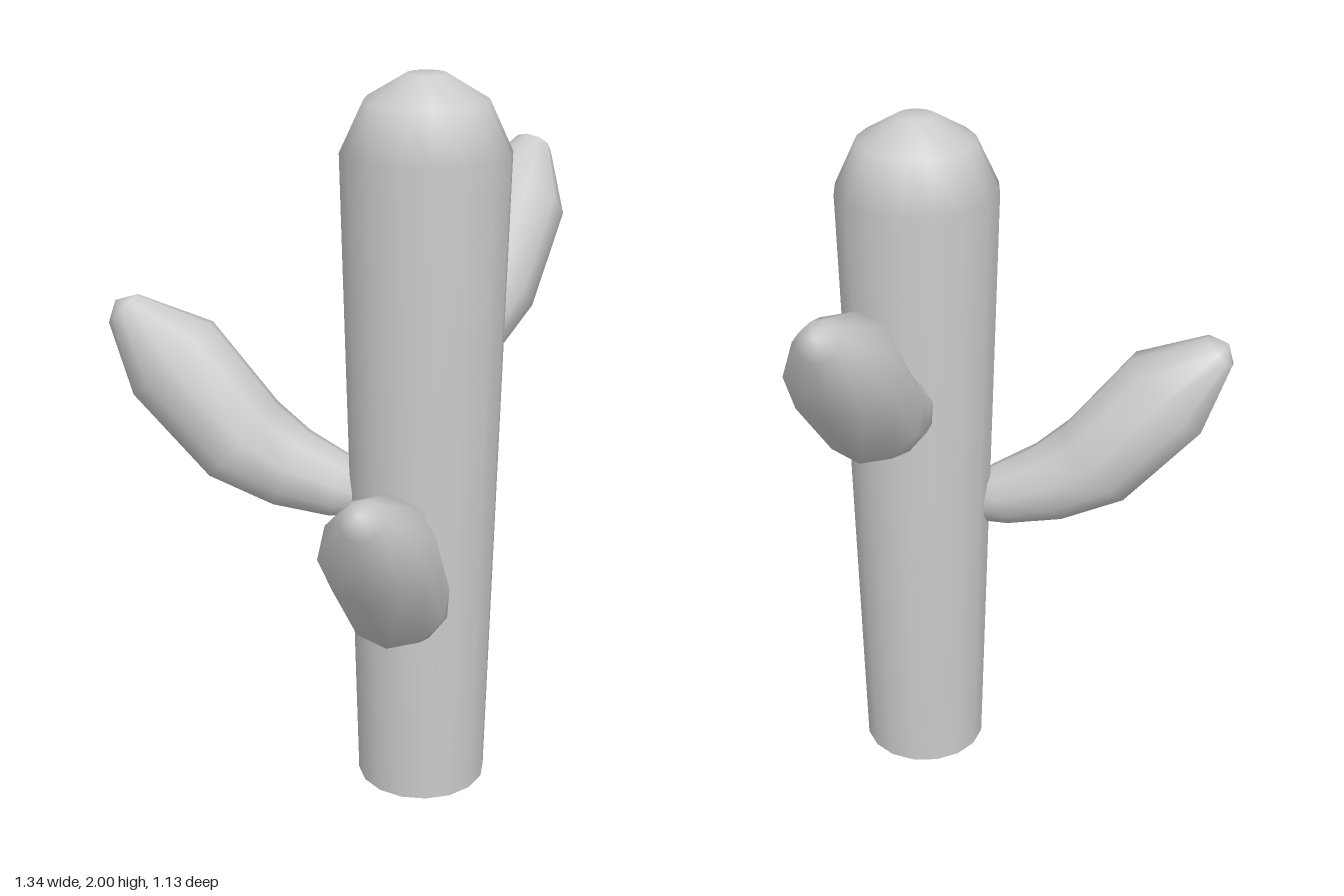
import * as THREE from 'three';

const material = new THREE.MeshStandardMaterial({ color: 0xcccccc });

// Smooth closed tube through [x, y, radius] sections lying in the xy plane
function loft(sections, sides) {
  const pos = [], index = [];
  const last = sections.length - 1;
  sections.forEach(([x, y, r], i) => {
    const p = sections[Math.max(i - 1, 0)], q = sections[Math.min(i + 1, last)];
    const t = new THREE.Vector2(q[0] - p[0], q[1] - p[1]).normalize();
    for (let j = 0; j < sides; j++) {
      const a = (j / sides) * Math.PI * 2;
      pos.push(x - t.y * Math.cos(a) * r, y + t.x * Math.cos(a) * r, Math.sin(a) * r);
    }
  });
  for (let i = 0; i < last; i++) {
    for (let j = 0; j < sides; j++) {
      const k = (j + 1) % sides;
      const a = i * sides + j, b = i * sides + k;
      index.push(a, b, b + sides, a, b + sides, a + sides);
    }
  }
  // end poles
  const [sx, sy] = sections[0], [ex, ey] = sections[last];
  const s = pos.length / 3;
  pos.push(sx - 0.03, sy - 0.01, 0, ex + 0.022, ey + 0.022, 0);
  for (let j = 0; j < sides; j++) {
    const k = (j + 1) % sides;
    index.push(s, k, j, s + 1, last * sides + j, last * sides + k);
  }
  const geo = new THREE.BufferGeometry();
  geo.setAttribute('position', new THREE.Float32BufferAttribute(pos, 3));
  geo.setIndex(index);
  geo.computeVertexNormals();
  return geo;
}

export function createModel() {
  const model = new THREE.Group();
  model.name = 'cactus';
  const plant = new THREE.Group();
  plant.name = 'plant';
  plant.position.set(-0.06, 0, 0.195);
  model.add(plant);

  const add = (name, geometry) => {
    const mesh = new THREE.Mesh(geometry, material);
    mesh.name = name;
    plant.add(mesh);
    return mesh;
  };

  // Trunk: widens upwards and ends in a low-poly dome
  const profile = [[0.18, 0], [0.223, 1.8], [0.16, 1.935], [0.052, 2], [0, 2]];
  add('trunk', new THREE.LatheGeometry(profile.map(([r, y]) => new THREE.Vector2(r, y)), 16));
  add('trunkBase', new THREE.CircleGeometry(0.18, 16)).rotation.x = Math.PI / 2;

  // Arms: one swelling, upward-bending shape placed around the trunk
  const armGeometry = loft([
    [-0.05, 0.545, 0.06],
    [0.03, 0.57, 0.09],
    [0.17, 0.615, 0.117],
    [0.305, 0.69, 0.142],
    [0.498, 0.912, 0.15],
    [0.635, 1.045, 0.056],
  ], 10);
  const arms = [
    ['leftArm', 15, 0.085, 0.64],
    ['backArm', 120.4, 0.2, 0.29],
    ['rightArm', 207, 0, 0],
  ];
  for (const [name, degrees, out, up] of arms) {
    const a = THREE.MathUtils.degToRad(degrees);
    const arm = add(name, armGeometry);
    arm.rotation.y = a;
    arm.position.set(Math.cos(a) * out, up, -Math.sin(a) * out);
  }
  return model;
}
